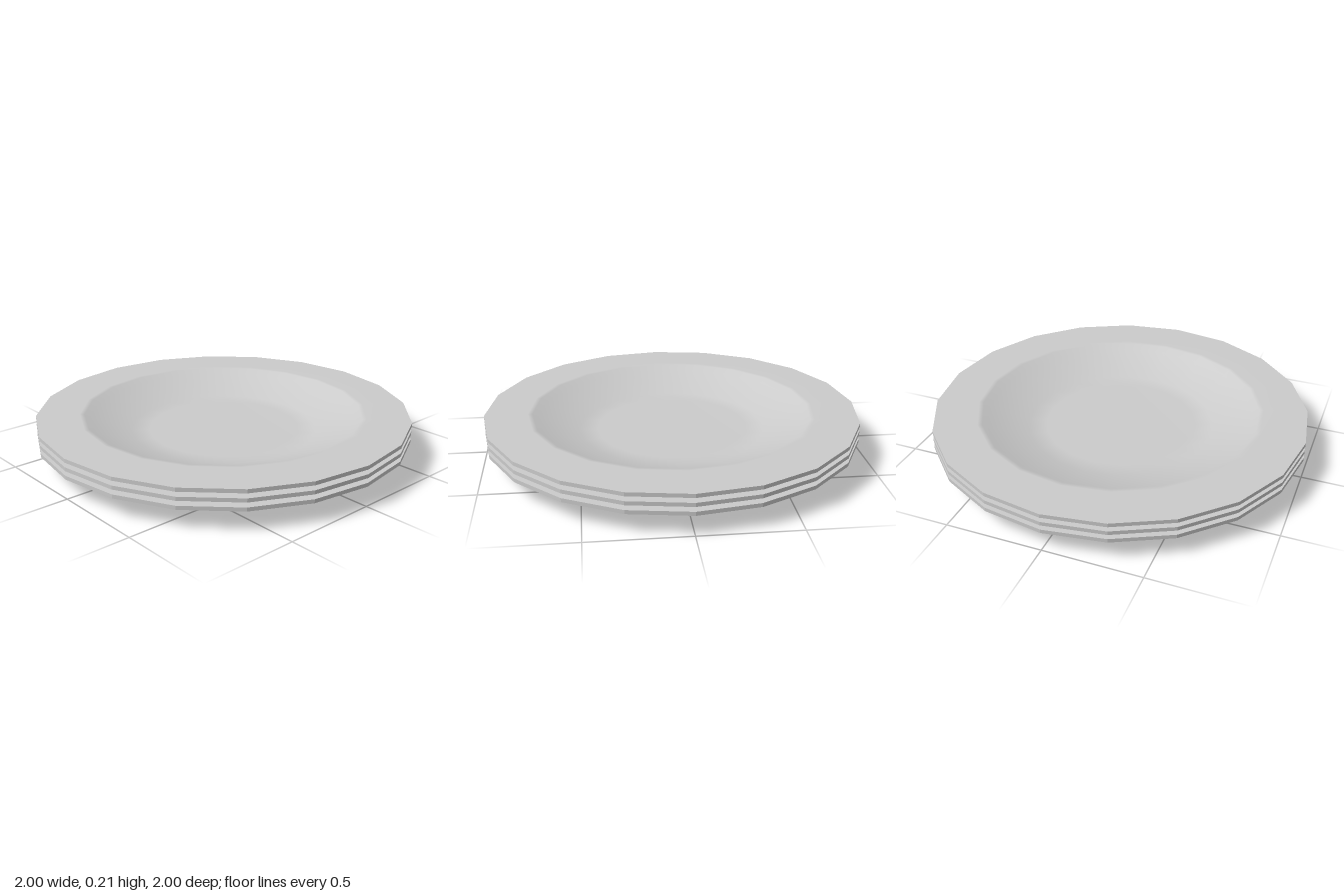
import * as THREE from 'three';

const SIDES = 20;
const points = (list) => list.map(([r, y]) => new THREE.Vector2(r, y));

// Profiles run counter-clockwise: underside outwards, edge upwards, top inwards
const undersideProfile = points([[0, 0], [0.46, 0], [0.5, 0.002], [0.73, 0.096], [0.75, 0.102], [0.78, 0.102], [1, 0.102]]);
const edgeProfile = points([[1, 0.102], [1, 0.122]]);
const topProfile = points([[1, 0.122], [0.77, 0.122], [0.745, 0.121], [0.715, 0.1], [0.5, 0.022], [0.4, 0.02], [0, 0.02]]);

export function createModel() {
  const smooth = new THREE.MeshStandardMaterial({ color: 0xcccccc });
  const faceted = new THREE.MeshStandardMaterial({ color: 0xcccccc, flatShading: true });
  const parts = [
    ['underside', new THREE.LatheGeometry(undersideProfile, SIDES), smooth],
    ['rimEdge', new THREE.LatheGeometry(edgeProfile, SIDES), faceted],
    ['dishTop', new THREE.LatheGeometry(topProfile, SIDES), smooth],
  ];

  // Three identical plates nested in a stack
  const stack = new THREE.Group();
  stack.name = 'plateStack';
  for (let i = 0; i < 3; i++) {
    const plate = new THREE.Group();
    plate.name = `plate${i + 1}`;
    plate.position.y = i * 0.044;
    for (const [name, geometry, material] of parts) {
      const mesh = new THREE.Mesh(geometry, material);
      mesh.name = name;
      plate.add(mesh);
    }
    stack.add(plate);
  }
  return stack;
}
